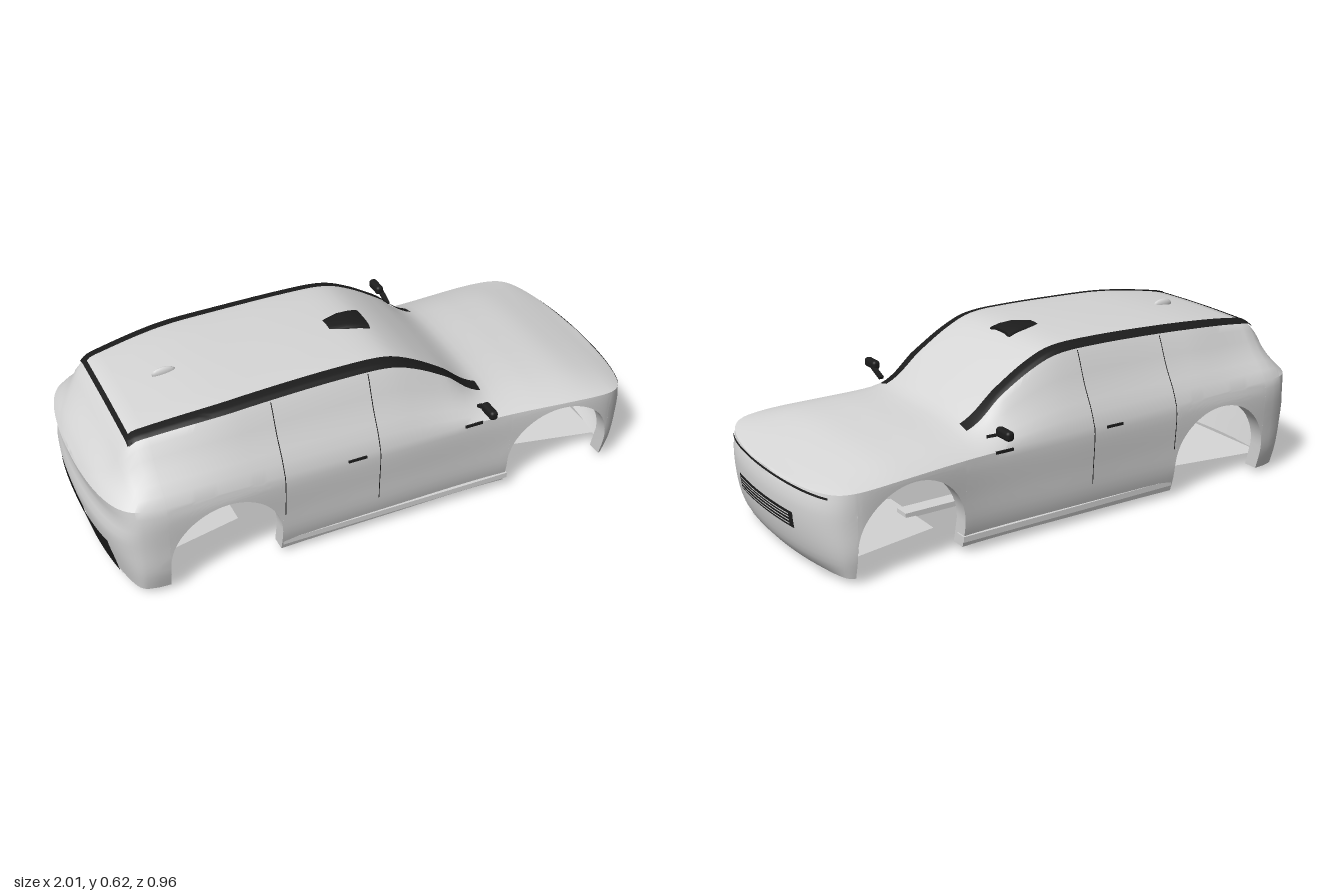
import * as THREE from 'three';
import { mergeVertices, toCreasedNormals } from 'three/addons/utils/BufferGeometryUtils.js';
import { RoundedBoxGeometry } from 'three/addons/geometries/RoundedBoxGeometry.js';

const paint = new THREE.MeshStandardMaterial({ color: 0xd6d6d6, side: THREE.DoubleSide });
paint.name = 'light grey paint';
const trim = new THREE.MeshStandardMaterial({ color: 0x1c1c1c, side: THREE.DoubleSide });
trim.name = 'black trim';

const V = (x, y, z) => new THREE.Vector3(x, y, z);
const smooth = THREE.MathUtils.smoothstep;
const steps = (a, b, n) => Array.from({ length: n + 1 }, (_, i) => a + (b - a) * i / n);

// smooth curve through [x, value] knots, sorted by x
function curve(k) {
  const slope = k.map((_, i) => {
    const a = k[Math.max(i - 1, 0)], b = k[Math.min(i + 1, k.length - 1)];
    return (b[1] - a[1]) / (b[0] - a[0]);
  });
  return x => {
    x = Math.min(Math.max(x, k[0][0]), k[k.length - 1][0]);
    let i = 0;
    while (i < k.length - 2 && x > k[i + 1][0]) i++;
    const d = k[i + 1][0] - k[i][0], t = (x - k[i][0]) / d, u = 1 - t;
    return u * u * (1 + 2 * t) * k[i][1] + t * t * (3 - 2 * t) * k[i + 1][1]
      + d * t * u * (u * slope[i] - t * slope[i + 1]);
  };
}

// centre line, shoulder height, plan width, side bulge and end rake
const top = curve([[-1, .372], [-.97, .415], [-.91, .48], [-.85, .55], [-.8, .565], [-.6, .593], [-.4, .606],
  [-.1, .614], [.05, .605], [.15, .565], [.26, .497], [.36, .428], [.42, .402], [.6, .387], [.75, .371], [.9, .332], [1, .304]]);
const shoulder = curve([[-1, .37], [-.8, .37], [0, .342], [.67, .333], [.87, .322], [1, .302]]);
const width = curve([[-1, .42], [-.7, .42], [-.3, .404], [0, .398], [.4, .395], [.75, .42], [1, .42]]);
const bulge = curve([[.02, .93], [.1, .98], [.2, .995], [.32, 1.01], [.38, .99]]);
const noseRake = curve([[.02, .06], [.06, .03], [.15, .006], [.25, 0], [.31, .014]]);
const tailRake = curve([[.02, .05], [.1, .03], [.18, .01], [.25, 0], [.31, .012], [.37, 0]]);

const halfWidth = x => width(x) * Math.sqrt(Math.max(0, 1 - Math.max(0, (Math.abs(x) - .6) / .4) ** 8));
const raked = (x, y) => x - Math.sign(x) * (x > 0 ? noseRake : tailRake)(y) * smooth(Math.abs(x), .86, 1);

// point on the body side
const sidePoint = (x, y, s = 1, off = 0) => V(raked(x, y), y, s * (halfWidth(x) * bulge(y) + off));

// half section above the shoulder: [width fraction, cabin height fraction]
const cabin = [[1, 0], [.96, .17], [.91, .32], [.86, .46], [.81, .64], [.765, .82], [.725, .935],
  [.68, .965], [.6, .98], [.4, .99], [.2, .997], [0, 1]];
const cabinHeight = curve([...cabin].reverse());
function deckPoint(x, f, off = 0) {
  const y0 = shoulder(x), h = top(x) - y0, a = Math.abs(f);
  const g = smooth(h, .06, .16);
  const yf = g * cabinHeight(a) + (1 - g) * (1 - a ** 3.5);
  const taper = 1 - .12 * smooth(-x, .5, .9) * Math.min(1, (1 - a) / .27);
  return V(raked(x, y0), y0 + h * yf + off, f * taper * halfWidth(x) * bulge(y0));
}

// point on the nose (+1) or tail (-1) face
function endPoint(s, z, y, off) {
  const t = (1 - (z / .42) ** 2) ** .125, p = sidePoint(s * (.6 + .4 * t), y);
  return V(p.x + s * off, y, z * bulge(y));
}

// surface through equal rows of points
function loft(rows, crease = .6) {
  const n = rows[0].length, index = [];
  for (let i = 0; i < rows.length - 1; i++)
    for (let j = 0; j < n - 1; j++) {
      const a = i * n + j, c = a + n;
      index.push(a, a + 1, c, a + 1, c + 1, c);
    }
  const g = new THREE.BufferGeometry().setFromPoints(rows.flat());
  g.setIndex(index);
  return toCreasedNormals(mergeVertices(g, 1e-5), crease);
}

export function createModel() {
  const car = new THREE.Group();
  car.name = 'car body';
  const add = (name, geo, mat, x = 0, y = 0, z = 0) => {
    const m = new THREE.Mesh(geo, mat);
    m.name = name;
    m.position.set(x, y, z);
    car.add(m);
    return m;
  };
  const box = (w, h, d) => new THREE.BoxGeometry(w, h, d);

  // stations along the car: [x, bottom height], with round wheel openings
  const R = .2, CY = .115, SILL = .022, wheels = [.67, -.6];
  const arch = cx => steps(0, Math.PI, 30).map(a => [cx + R * Math.cos(a), CY + R * Math.sin(a)]);
  const ends = steps(Math.PI / 2, .24, 18).map(a => [.6 + .4 * Math.sin(a) ** .25, SILL]);
  const stations = [
    ...ends, [.87, SILL], ...arch(wheels[0]),
    ...steps(.47, -.4, 29).map(x => [x, SILL]),
    ...arch(wheels[1]), [-.8, SILL], [-.84, SILL],
    ...ends.map(([x, y]) => [-x, y]).reverse(),
  ];
  add('body shell', loft(stations.map(([x, y0]) => {
    const ys = steps(y0, shoulder(x), 12).slice(0, -1), fs = cabin.map(c => c[0]);
    return [
      ...ys.map(y => sidePoint(x, y)),
      ...fs.map(f => deckPoint(x, f)),
      ...fs.slice(0, -1).reverse().map(f => deckPoint(x, -f)),
      ...ys.reverse().map(y => sidePoint(x, y, -1)),
    ];
  })), paint);

  for (const s of [1, -1]) {
    // inner lips of the wheel openings
    for (const cx of wheels) {
      const edge = [[cx + R, SILL], ...arch(cx), [cx - R, SILL]];
      add('wheel arch lip', loft(edge.map(([x, y]) => {
        const p = sidePoint(x, y, s);
        return [p, V(p.x, p.y, p.z - s * .055)];
      })), paint);
    }
    // black roof rail running down the windscreen pillar
    add('roof rail', loft(steps(.4, -.86, 60).map(x =>
      steps(.62, .735, 5).map(f => deckPoint(x, s * f, .005)))), trim);
    // door gaps
    for (const x of [-.04, -.39]) {
      add('door gap', loft([x - .0015, x + .0015].map(a => [
        ...steps(x < -.2 ? .19 : .135, shoulder(a), 10).map(y => sidePoint(a, y, s, .002)),
        ...steps(1, .74, 10).map(f => deckPoint(a, s * f, .003)),
      ])), trim);
    }
    // door handles
    for (const x of [-.125, .32])
      add('door handle', box(.068, .009, .008), trim, x, .335, sidePoint(x, .335, s).z);
    // mirrors
    add('mirror', new RoundedBoxGeometry(.03, .034, .076, 3, .012), trim, .35, .415, s * .443);
    add('mirror arm', box(.018, .01, .065), trim, .358, .395, s * .39).rotation.x = -s * .4;
    // inner sills
    add('inner sill', box(.87, .02, .045), paint, .04, .055, s * .367);
  }

  // rear roof edge
  add('rear roof edge', loft([-.85, -.864].map(x =>
    steps(-.73, .73, 24).map(f => deckPoint(x, f, .005)))), trim);

  // plates following the nose and tail
  const plate = (name, s, z, y0, y1, off, mat) => add(name, loft(
    steps(y0, y1, 10).map(y => steps(-z, z, 40).map(w => endPoint(s, w, y, off)))), mat);
  plate('bonnet gap', 1, .352, .294, .301, .004, trim);
  plate('grille', 1, .202, .155, .211, .004, trim);
  for (const y of [.167, .179, .191, .201]) plate('grille bar', 1, .182, y - .0022, y + .0022, .007, paint);
  plate('rear bumper panel', -1, .28, .028, .185, .005, trim);

  // arched roof sensor, open to the front: [x, half width, base, top]
  const hood = [[-.06, .038, .6, .617], [0, .053, .6, .625], [.05, .06, .59, .622], [.08, .063, .588, .612],
    [.08, .05, .588, .602], [.02, .044, .59, .612], [-.05, .03, .6, .61]];
  add('roof sensor', loft(hood.map(([x, w, y0, y1]) => steps(0, Math.PI, 16).map(a =>
    V(x, y0 + (y1 - y0) * Math.sin(a) ** .6, w * Math.sign(Math.cos(a)) * Math.abs(Math.cos(a)) ** .7)))), trim);

  // small roof aerial
  const aerial = add('roof aerial', new THREE.SphereGeometry(1, 16, 10), paint, -.65, .588, 0);
  aerial.scale.set(.042, .02, .011);

  // underbody: sloping end plates and the central beam
  for (const s of [1, -1]) {
    const x0 = s * .93, x1 = s > 0 ? .45 : -.47;
    add('underbody plate', loft([[V(x0, .022, .27), V(x0, .022, -.27)], [V(x1, .003, .15), V(x1, .003, -.15)]]), paint);
  }
  add('central beam', box(.88, .02, .06), paint, .05, .01, 0);

  return car;
}
